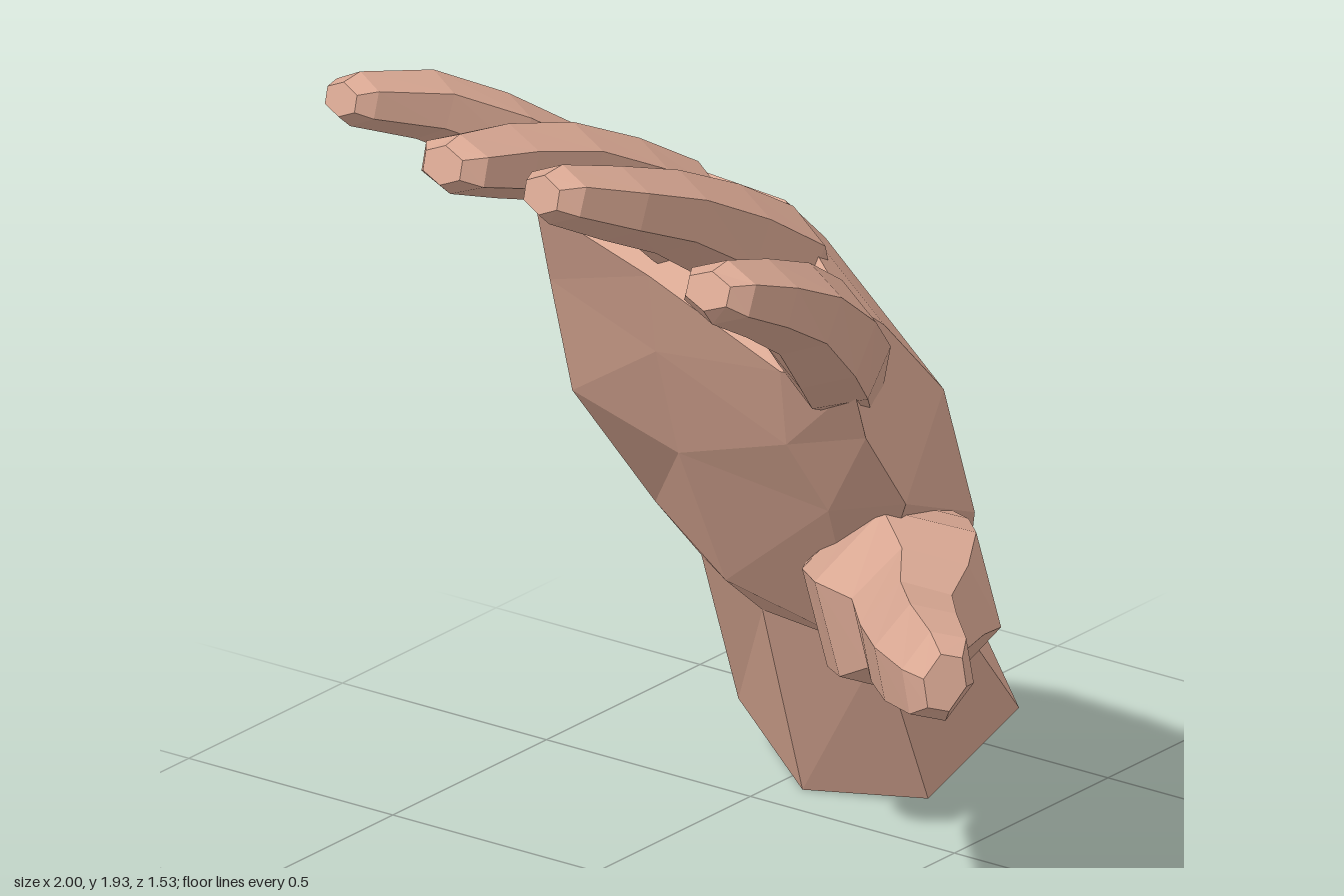
import * as THREE from 'three';

const V = (a) => new THREE.Vector3(a[0], a[1], a[2]);

// Skin stretched over rings of equal point count, open at the start, closed at the end
function loft(rings) {
  const pos = [];
  const tri = (a, b, c) => pos.push(...a.toArray(), ...b.toArray(), ...c.toArray());
  const n = rings[0].length;
  for (let r = 0; r < rings.length - 1; r++) {
    for (let i = 0; i < n; i++) {
      const j = (i + 1) % n, a = rings[r], b = rings[r + 1];
      tri(a[i], a[j], b[j]);
      tri(a[i], b[j], b[i]);
    }
  }
  const last = rings[rings.length - 1];
  const mid = last.reduce((s, p) => s.add(p), new THREE.Vector3()).divideScalar(n);
  for (let i = 0; i < n; i++) tri(last[i], last[(i + 1) % n], mid);
  const g = new THREE.BufferGeometry();
  g.setAttribute('position', new THREE.Float32BufferAttribute(pos, 3));
  g.computeVertexNormals();
  return g;
}

// Six-sided digit; each section is [x, y, z, width, thickness]
function digit(sections, sideways) {
  const centres = sections.map(V);
  const rings = sections.map((s, k) => {
    const t = centres[Math.min(k + 1, centres.length - 1)].clone()
      .sub(centres[Math.max(k - 1, 0)]).normalize();
    const u = sideways.clone().addScaledVector(t, -sideways.dot(t)).normalize();
    const v = t.clone().cross(u);
    return Array.from({ length: 6 }, (_, i) => {
      const a = Math.PI / 6 + (i * Math.PI) / 3;
      return centres[k].clone()
        .addScaledVector(u, (Math.cos(a) / 0.866) * s[3] / 2)
        .addScaledVector(v, Math.sin(a) * s[4] / 2);
    });
  });
  return loft(rings);
}

export function createModel() {
  const group = new THREE.Group();
  const skin = new THREE.MeshStandardMaterial({ color: 0xdcaa95 });
  skin.name = 'skin';
  skin.flatShading = true;
  skin.side = THREE.DoubleSide;
  const add = (name, geometry) => {
    const m = new THREE.Mesh(geometry, skin);
    m.name = name;
    group.add(m);
  };

  // Rings run thumb side, back of the hand, little finger side, palm
  const palm = [
    // open wrist end
    [[0.87, 0.16, -0.12], [0.98, 0.27, -0.31], [1.0, 0.33, -0.52], [0.93, 0.33, -0.70],
      [0.76, 0.23, -0.77], [0.66, 0.12, -0.65], [0.59, 0.0, -0.44], [0.68, 0.01, -0.20]],
    // narrow of the wrist
    [[0.63, 0.42, -0.08], [0.725, 0.57, -0.22], [0.71, 0.66, -0.42], [0.65, 0.70, -0.56],
      [0.52, 0.61, -0.64], [0.42, 0.52, -0.56], [0.38, 0.46, -0.38], [0.46, 0.41, -0.15]],
    // heel of the hand
    [[0.50, 0.73, 0.05], [0.56, 0.825, -0.14], [0.58, 0.87, -0.35], [0.52, 0.89, -0.53],
      [0.40, 0.82, -0.62], [0.27, 0.68, -0.56], [0.22, 0.58, -0.35], [0.26, 0.50, -0.05]],
    // middle of the palm
    [[-0.03, 0.97, 0.28], [0.20, 1.12, 0.20], [0.30, 1.19, -0.13], [0.24, 1.24, -0.42],
      [0.10, 1.15, -0.63], [0.0, 1.0, -0.56], [0.0, 0.93, -0.3], [-0.07, 0.93, 0.12]],
    // knuckles
    [[-0.18, 1.16, 0.295], [-0.02, 1.33, 0.22], [0.08, 1.43, 0.0], [0.08, 1.44, -0.3],
      [0.0, 1.41, -0.575], [-0.10, 1.27, -0.54], [-0.14, 1.2, -0.25], [-0.18, 1.10, 0.1]],
    // webs between the fingers
    [[-0.28, 1.31, 0.34], [-0.18, 1.44, 0.24], [-0.09, 1.57, 0.03], [-0.07, 1.58, -0.3],
      [-0.12, 1.57, -0.56], [-0.2, 1.47, -0.5], [-0.23, 1.40, -0.2], [-0.28, 1.30, 0.16]],
  ];
  add('palmAndWrist', loft(palm.map((ring) => ring.map(V))));

  // Fingers, rooted inside the palm
  const fingers = {
    indexFinger: [[-0.10, 1.22, 0.19, 0.13, 0.12], [-0.22, 1.335, 0.25, 0.19, 0.23],
      [-0.365, 1.445, 0.325, 0.19, 0.23], [-0.55, 1.575, 0.40, 0.17, 0.19],
      [-0.74, 1.67, 0.45, 0.16, 0.16], [-0.88, 1.73, 0.465, 0.15, 0.13],
      [-0.92, 1.745, 0.465, 0.10, 0.08]],
    middleFinger: [[-0.03, 1.32, 0.02, 0.14, 0.12], [-0.165, 1.475, 0.05, 0.20, 0.23],
      [-0.35, 1.595, 0.075, 0.18, 0.20], [-0.58, 1.72, 0.11, 0.16, 0.17],
      [-0.78, 1.805, 0.125, 0.16, 0.15], [-0.95, 1.875, 0.115, 0.14, 0.12],
      [-0.99, 1.885, 0.11, 0.09, 0.08]],
    ringFinger: [[-0.02, 1.36, -0.19, 0.14, 0.12], [-0.155, 1.515, -0.19, 0.19, 0.22],
      [-0.32, 1.63, -0.19, 0.18, 0.18], [-0.52, 1.735, -0.19, 0.17, 0.16],
      [-0.72, 1.80, -0.19, 0.165, 0.15], [-0.88, 1.845, -0.185, 0.15, 0.12],
      [-0.92, 1.855, -0.185, 0.09, 0.08]],
    littleFinger: [[-0.01, 1.385, -0.46, 0.12, 0.11], [-0.14, 1.54, -0.485, 0.18, 0.17],
      [-0.31, 1.66, -0.515, 0.17, 0.15], [-0.48, 1.755, -0.56, 0.15, 0.14],
      [-0.66, 1.815, -0.595, 0.12, 0.11], [-0.70, 1.825, -0.60, 0.08, 0.07]],
  };
  for (const [name, sections] of Object.entries(fingers)) {
    add(name, digit(sections, new THREE.Vector3(0, 0, 1)));
  }

  // Thumb with the ball at its root
  add('thumb', digit([
    [0.40, 0.66, -0.10, 0.22, 0.18], [0.27, 0.66, 0.01, 0.32, 0.32],
    [0.13, 0.70, 0.14, 0.35, 0.39], [-0.01, 0.75, 0.27, 0.34, 0.38],
    [-0.11, 0.78, 0.37, 0.25, 0.27], [-0.25, 0.80, 0.46, 0.21, 0.21],
    [-0.38, 0.83, 0.58, 0.20, 0.19], [-0.47, 0.845, 0.69, 0.17, 0.15],
    [-0.50, 0.85, 0.73, 0.11, 0.09],
  ], new THREE.Vector3(0.2, 1, 0.2)));

  return group;
}
